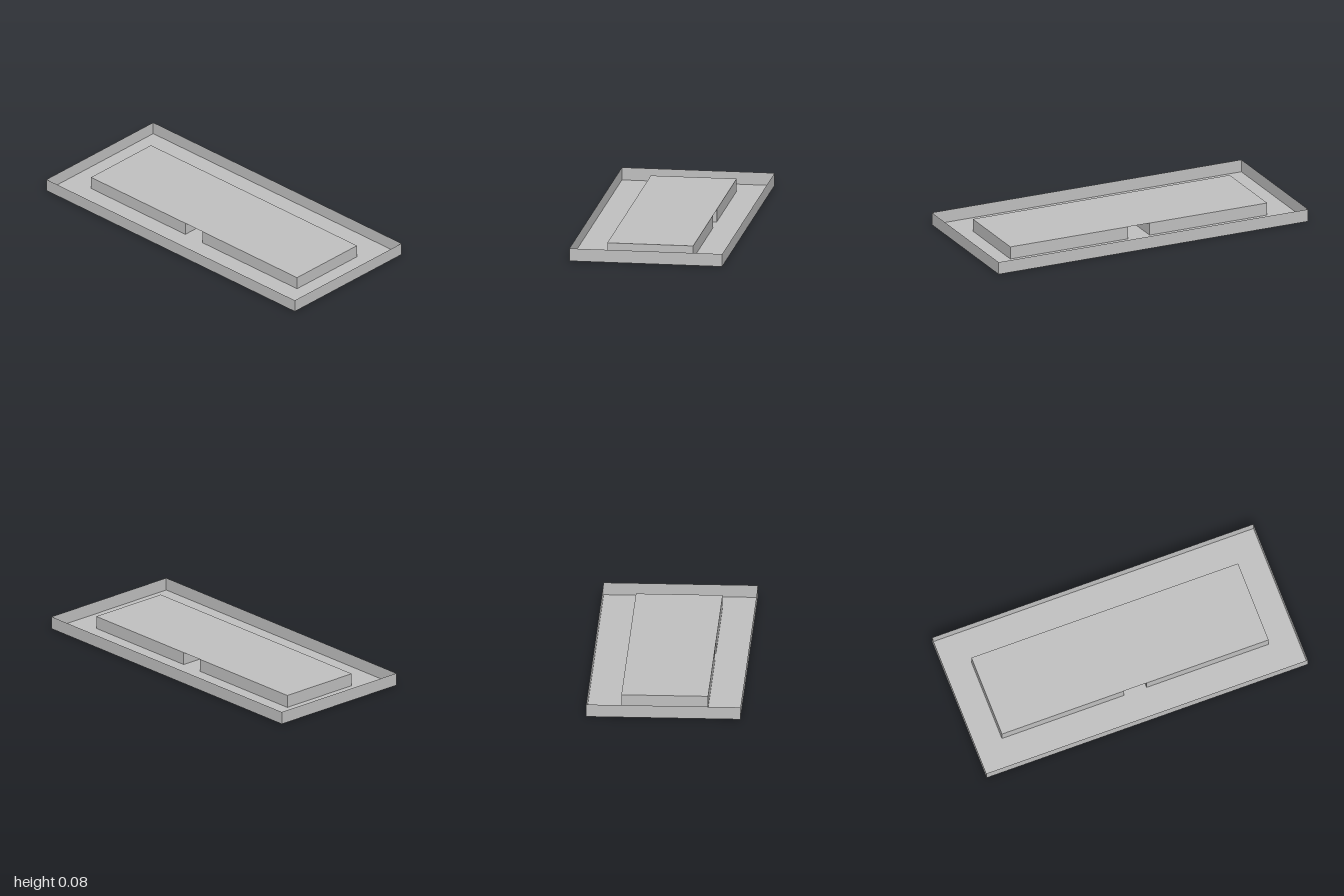
import * as THREE from 'three';

const W = 2, D = 0.9, H = 0.075;          // tray size
const X0 = 0.07, X1 = 0.83, Z = 0.253;    // duct opening limits
const SLATS = 9, PITCH = 0.055;

export function createModel() {
  const group = new THREE.Group();
  const metal = new THREE.MeshStandardMaterial({ color: 0xc0c0c0, side: THREE.DoubleSide });
  metal.name = 'light grey metal';

  const add = (parent, name, geometry, x = 0, y = 0, z = 0) => {
    const mesh = new THREE.Mesh(geometry, metal);
    mesh.name = name;
    mesh.position.set(x, y, z);
    parent.add(mesh);
    return mesh;
  };

  // Four thin sheet walls around a rectangle, facing outwards
  const addWalls = (parent, name, cx, w, d) => {
    for (const s of [-1, 1]) {
      add(parent, name, new THREE.PlaneGeometry(w, H), cx, H / 2, s * d / 2).rotation.y = s > 0 ? 0 : Math.PI;
      add(parent, name, new THREE.PlaneGeometry(d, H), cx + s * w / 2, H / 2, 0).rotation.y = s * Math.PI / 2;
    }
  };

  // Floor sheet with the two duct openings
  const floor = new THREE.Shape([[-1, -1], [1, -1], [1, 1], [-1, 1]]
    .map(([x, z]) => new THREE.Vector2(x * W / 2, z * D / 2)));
  for (const s of [-1, 1]) {
    floor.holes.push(new THREE.Path([[X0, -Z], [X0, Z], [X1, Z], [X1, -Z]]
      .map(([x, z]) => new THREE.Vector2(s * x, z))));
  }
  add(group, 'trayFloor', new THREE.ShapeGeometry(floor).rotateX(-Math.PI / 2));
  addWalls(group, 'trayWall', 0, W, D);

  // Ducts with angled slats just beneath the cover
  const drop = 0.022, run = 0.05;
  for (const s of [-1, 1]) {
    const duct = new THREE.Group();
    duct.name = s > 0 ? 'leftDuct' : 'rightDuct';
    const cx = s * (X0 + X1) / 2;
    addWalls(duct, 'ductWall', cx, X1 - X0, 2 * Z);
    for (let i = 0; i < SLATS; i++) {
      const slat = add(duct, 'slat', new THREE.BoxGeometry(X1 - X0 - 0.002, 0.003, Math.hypot(run, drop)),
        cx, H - 0.003 - drop / 2, -Z + 0.003 + run / 2 + i * PITCH);
      slat.rotation.x = -Math.atan2(drop, run);
    }
    group.add(duct);
  }

  // One cover sheet spans both ducts and bridges the gap
  add(group, 'cover', new THREE.PlaneGeometry(2 * X1, 2 * Z).rotateX(-Math.PI / 2), 0, H, 0);
  return group;
}
